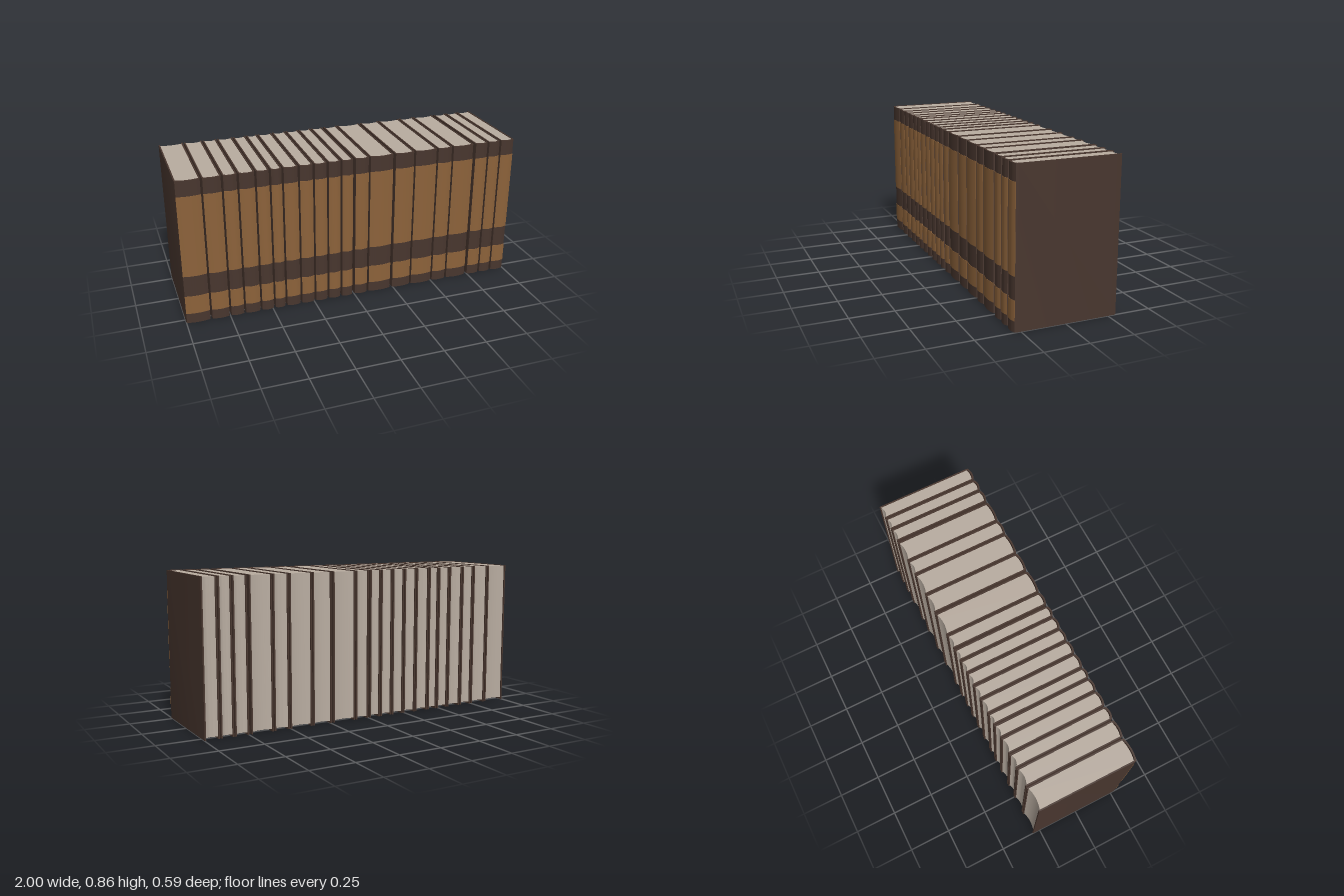
import * as THREE from 'three';
import { toCreasedNormals } from 'three/addons/utils/BufferGeometryUtils.js';

const HEIGHT = 0.86, BACK = -0.295, BOARD = 0.008;

// boundaries between neighbouring books, and the few wider gaps
const EDGES = [-1, -0.858, -0.748, -0.663, -0.567, -0.487, -0.417, -0.326, -0.241, -0.16, -0.08,
  -0.003, 0.088, 0.238, 0.364, 0.505, 0.602, 0.742, 0.832, 0.912, 1];
const WIDE_GAPS = { 11: 0.012, 13: 0.012, 17: 0.014 };
const TAN_BANDS = [[0.06, 0.17], [0.295, 0.77]];

function material(name, color, side = THREE.FrontSide) {
  const m = new THREE.MeshStandardMaterial({ color, side });
  m.name = name;
  return m;
}

// extrude an outline of [x, z] points upward from y0 to y1
function upright(points, y0, y1) {
  const shape = new THREE.Shape(points.map(([x, z]) => new THREE.Vector2(x, -z)));
  const geo = new THREE.ExtrudeGeometry(shape, { depth: y1 - y0, bevelEnabled: false });
  geo.rotateX(-Math.PI / 2).translate(0, y0, 0);
  return toCreasedNormals(geo, 0.6);
}

// shallow curve across a half width, bulging by rise from z
function arc(half, z, rise, steps = 10) {
  return Array.from({ length: steps + 1 }, (_, i) => {
    const u = (i / steps) * 2 - 1;
    return [u * half, z + rise * (1 - u * u)];
  });
}

export function createModel() {
  const model = new THREE.Group();
  model.name = 'bookRow';
  const leather = material('dark leather', 0x48362e);
  const tan = material('tan leather', 0x8c623a);
  const paper = material('paper', 0xb8aca0);

  for (let i = 0; i < EDGES.length - 1; i++) {
    const gap = (k) => (k === 0 || k === EDGES.length - 1 ? 0 : (WIDE_GAPS[k] ?? 0.007) / 2);
    const x0 = EDGES[i] + gap(i), x1 = EDGES[i + 1] - gap(i + 1);
    const half = (x1 - x0) / 2, inner = half - BOARD;

    const book = new THREE.Group();
    book.name = `book${i + 1}`;
    book.position.x = (x0 + x1) / 2;
    const add = (name, geo, mat) => {
      const mesh = new THREE.Mesh(geo, mat);
      mesh.name = name;
      book.add(mesh);
    };

    // U-shaped cover: two boards joined by a rounded spine
    const spineFace = arc(half - 0.003, 0.284, 0.009);
    add('cover', upright([
      [-half, BACK], [-half, 0.272], ...spineFace, [half, 0.272], [half, BACK],
      [inner, BACK], [inner, 0.27], ...arc(inner - 0.002, 0.275, 0.009).reverse(),
      [-inner, 0.27], [-inner, BACK],
    ], 0, HEIGHT), leather);

    // tan panels on the spine
    for (const [y0, y1] of TAN_BANDS) {
      const outer = arc(half - 0.002, 0.286, 0.009);
      add('spinePanel', upright([...outer, ...spineFace.slice().reverse()], y0, y1), tan);
    }

    // page block with a hollow fore edge
    add('pages', upright([
      ...arc(inner, -0.288, 0.01), ...arc(inner, 0.272, 0.007).reverse(),
    ], 0.012, HEIGHT - 0.003), paper);

    model.add(book);
  }
  return model;
}
